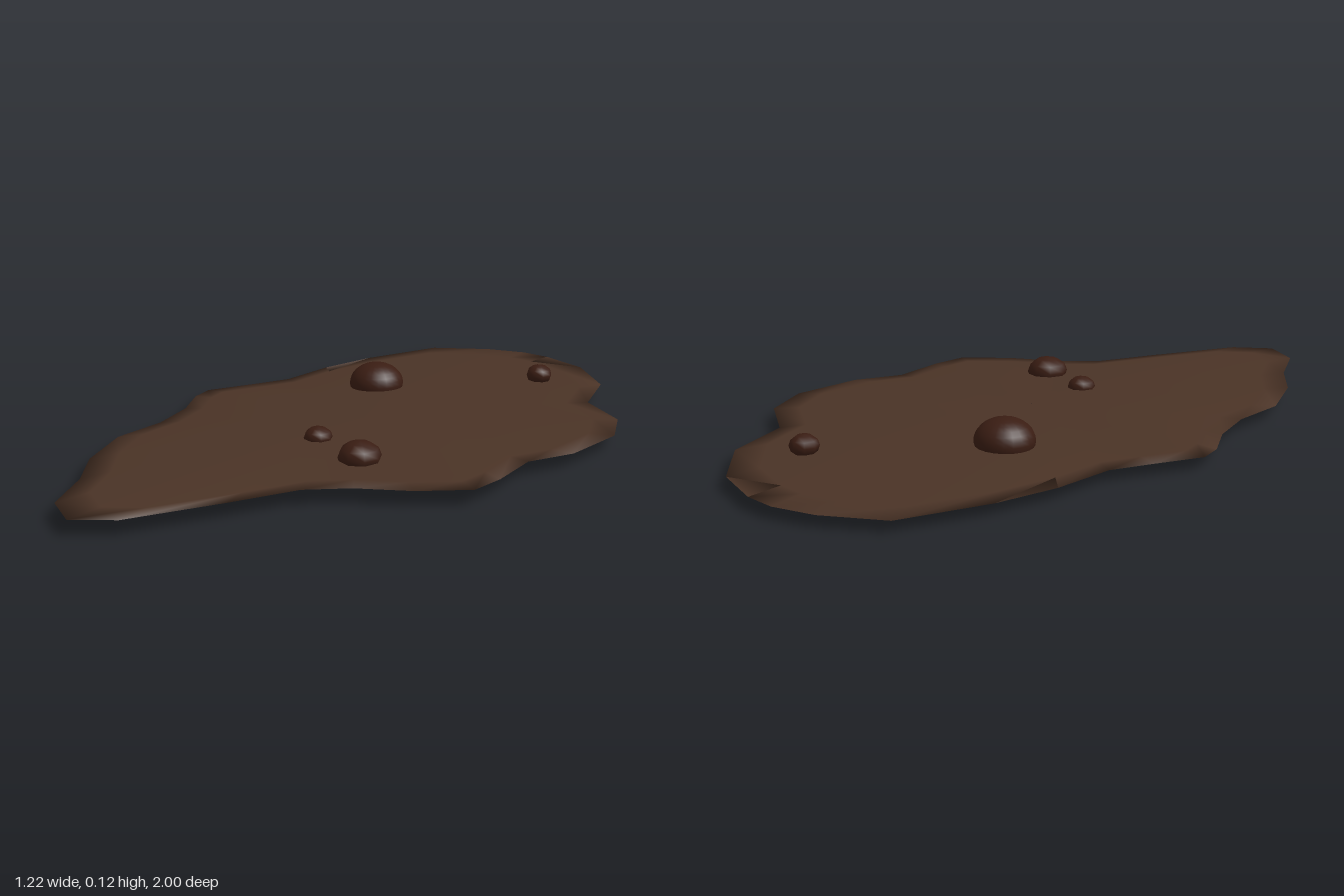
import * as THREE from 'three';

// Puddle outline seen from above, as x, z pairs
const OUTLINE = [
  -0.02, -1, 0.07, -0.985, 0.22, -0.915, 0.36, -0.755, 0.41, -0.55, 0.555, -0.43, 0.61, -0.28,
  0.585, -0.075, 0.515, 0.05, 0.52, 0.215, 0.505, 0.32, 0.385, 0.405, 0.245, 0.465, 0.145, 0.54,
  0.05, 0.71, -0.09, 0.94, -0.195, 1, -0.3, 0.925, -0.37, 0.755, -0.46, 0.615, -0.525, 0.425,
  -0.515, 0.255, -0.545, 0.105, -0.6, -0.015, -0.61, -0.09, -0.54, -0.21, -0.48, -0.32,
  -0.46, -0.5, -0.41, -0.675, -0.3, -0.905, -0.14, -0.98,
];

// Thin lens: the outline shrinks in rings towards a raised top and a lowered underside
function puddleGeometry() {
  const n = OUTLINE.length / 2;
  const cx = -0.02, cz = -0.02;
  const scales = [0.001, 0.3, 0.55, 0.75, 0.9, 1, 0.9, 0.75, 0.55, 0.3, 0.001];
  const positions = [], index = [];
  scales.forEach((s, ring) => {
    const bulge = ring < 5 ? 0.02 : -0.014;
    for (let i = 0; i < n; i++) {
      const x = cx + (OUTLINE[2 * i] - cx) * s;
      const z = cz + (OUTLINE[2 * i + 1] - cz) * s;
      const tilt = 0.006 * (x + z) * (ring <= 5 ? 1 : s);
      positions.push(x, 0.037 + tilt + bulge * (1 - s * s), z);
      if (ring === scales.length - 1) continue;
      const a = ring * n + i, b = ring * n + (i + 1) % n;
      index.push(a, b + n, b, a, a + n, b + n);
    }
  });
  // Outline runs clockwise from above, so reverse each face to point outwards
  for (let i = 0; i < index.length; i += 3) {
    [index[i + 1], index[i + 2]] = [index[i + 2], index[i + 1]];
  }
  const geometry = new THREE.BufferGeometry();
  geometry.setAttribute('position', new THREE.Float32BufferAttribute(positions, 3));
  geometry.setIndex(index);
  // Make sure the top faces up whatever the outline's direction
  geometry.computeVertexNormals();
  if (geometry.attributes.normal.getY(n) < 0) {
    geometry.setIndex(index.reverse());
    geometry.computeVertexNormals();
  }
  return geometry;
}

export function createModel() {
  const group = new THREE.Group();
  group.name = 'mudPuddle';
  const mud = new THREE.MeshStandardMaterial({ color: 0x4a3326 });
  const clod = new THREE.MeshStandardMaterial({ color: 0x3a1d13 });

  const puddle = new THREE.Mesh(puddleGeometry(), mud);
  puddle.name = 'puddle';
  group.add(puddle);

  // Squashed lumps: x, y, z, radius, half height, segments around, segments high
  const lumps = [
    ['largeLump', -0.18, 0.06, -0.345, 0.079, 0.06, 20, 14],
    ['mediumLump', 0.157, 0.061, 0.29, 0.058, 0.041, 8, 6],
    ['smallLumpFront', -0.025, 0.06, 0.205, 0.039, 0.029, 8, 6],
    ['smallLumpBack', 0.19, 0.06, -0.68, 0.039, 0.03, 8, 6],
  ];
  for (const [name, x, y, z, r, h, around, high] of lumps) {
    const lump = new THREE.Mesh(new THREE.SphereGeometry(1, around, high), clod);
    lump.name = name;
    lump.position.set(x, y, z);
    lump.scale.set(r, h, r);
    group.add(lump);
  }
  return group;
}
